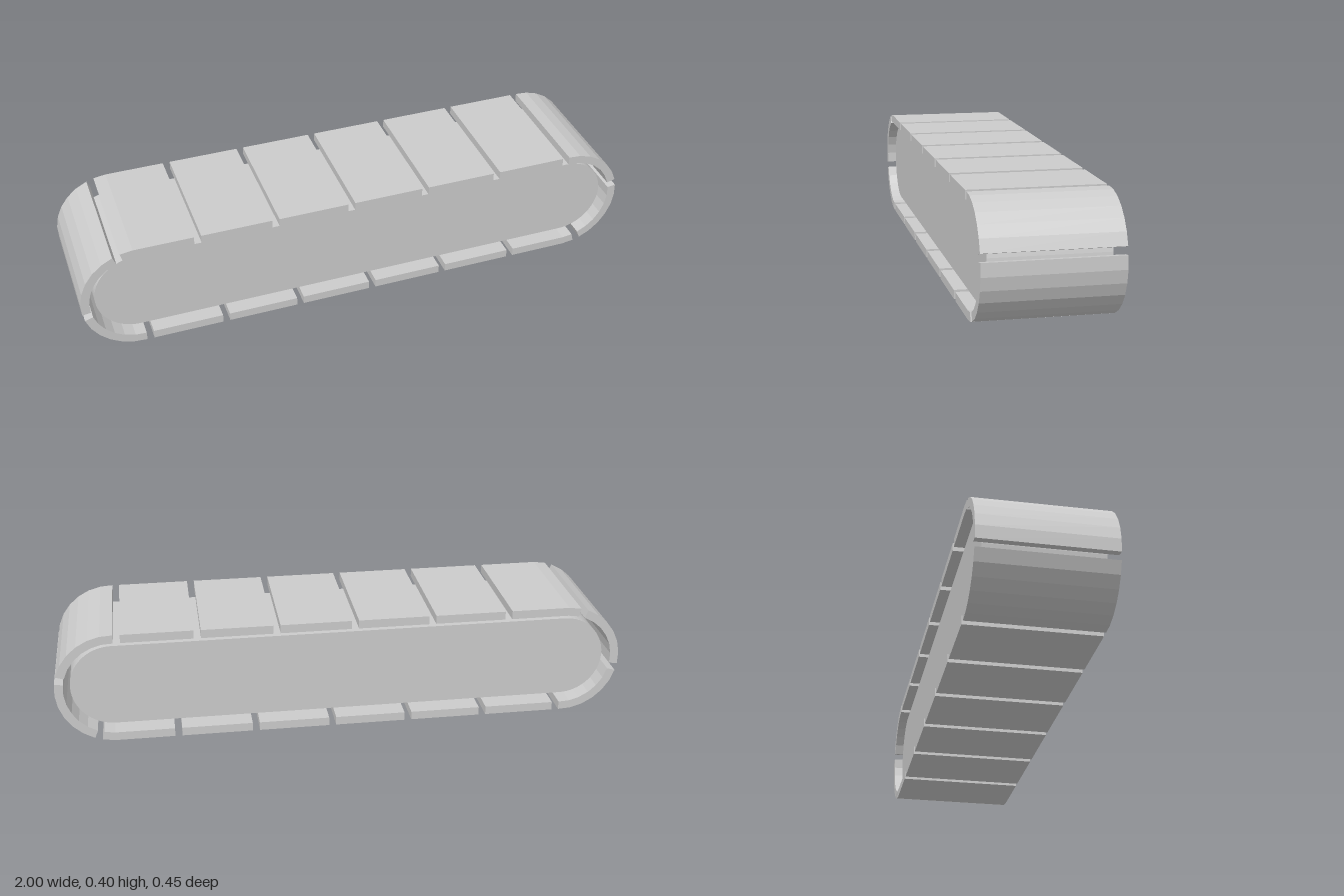
import * as THREE from 'three';

const HALF = 0.8, CY = 0.2;         // wheel centres at x = +-HALF, y = CY
const R = 0.185, THICK = 0.03;      // centre line radius and pad thickness
const PADS = 16, GAP = 0.025, STEPS = 6;
const LOOP = 4 * HALF + 2 * Math.PI * R;

// point on the track loop, clockwise from the top middle, pushed outward by off
function loopPoint(s, off) {
  s = ((s % LOOP) + LOOP) % LOOP;
  const side = s > HALF && s < HALF * 3 + Math.PI * R;
  const arc = Math.PI * R;
  const onArc = (cx, a) => new THREE.Vector2(cx + (R + off) * Math.sin(a), CY + (R + off) * Math.cos(a));
  if (s <= HALF) return new THREE.Vector2(s, CY + R + off);
  if (side && s <= HALF + arc) return onArc(HALF, (s - HALF) / R);
  if (side) return new THREE.Vector2(2 * HALF + arc - s, CY - R - off);
  if (s <= 3 * HALF + 2 * arc) return onArc(-HALF, Math.PI + (s - 3 * HALF - arc) / R);
  return new THREE.Vector2(s - LOOP, CY + R + off);
}

// flat outline extruded evenly about z = 0
function slab(shape, width, name, material, curveSegments = 12) {
  const geometry = new THREE.ExtrudeGeometry(shape, { depth: width, bevelEnabled: false, curveSegments });
  geometry.translate(0, 0, -width / 2);
  const mesh = new THREE.Mesh(geometry, material);
  mesh.name = name;
  return mesh;
}

export function createModel() {
  const group = new THREE.Group();
  group.name = 'trackUnit';
  const material = new THREE.MeshStandardMaterial({ color: 0xcccccc, flatShading: true });

  // solid rounded core
  const r = 0.147;
  const core = new THREE.Shape();
  core.moveTo(-HALF, CY - r);
  core.lineTo(HALF, CY - r);
  core.absarc(HALF, CY, r, -Math.PI / 2, Math.PI / 2, false);
  core.lineTo(-HALF, CY + r);
  core.absarc(-HALF, CY, r, Math.PI / 2, Math.PI * 1.5, false);
  group.add(slab(core, 0.39, 'core', material, 16));

  // track pads bent around the loop
  const track = new THREE.Group();
  track.name = 'track';
  const pitch = LOOP / PADS;
  for (let i = 0; i < PADS; i++) {
    const start = 0.778 + i * pitch + GAP / 2;
    const outer = [], inner = [];
    for (let k = 0; k <= STEPS; k++) {
      const s = start + (k / STEPS) * (pitch - GAP);
      outer.push(loopPoint(s, THICK / 2));
      inner.unshift(loopPoint(s, -THICK / 2));
    }
    track.add(slab(new THREE.Shape([...outer, ...inner]), 0.45, `trackPad${i + 1}`, material));
  }
  group.add(track);
  return group;
}
